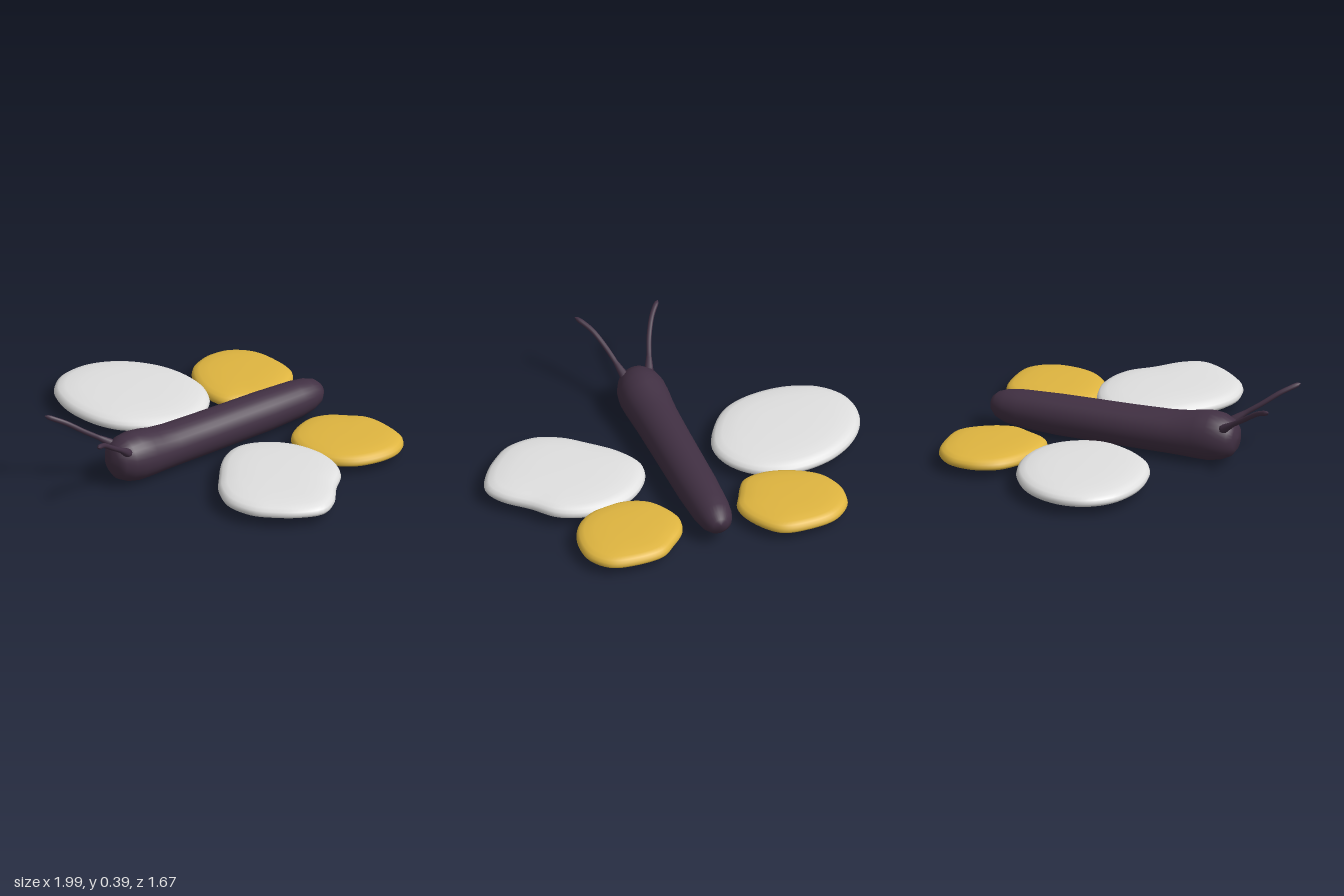
import * as THREE from 'three';

const material = (name, color) => {
  const m = new THREE.MeshStandardMaterial({ color });
  m.name = name;
  return m;
};

// Smooth closed skin over equal-length rings, each counter-clockwise seen from the last ring's end
function loft(rings) {
  const n = rings[0].length;
  const positions = rings.flatMap(ring => ring.flatMap(p => p.toArray()));
  const index = [];
  for (let i = 0; i < rings.length - 1; i++) {
    for (let j = 0; j < n; j++) {
      const k = (j + 1) % n;
      const a = i * n + j, b = i * n + k, c = a + n, d = b + n;
      index.push(a, b, d, a, d, c);
    }
  }
  const g = new THREE.BufferGeometry();
  g.setAttribute('position', new THREE.Float32BufferAttribute(positions, 3));
  g.setIndex(index);
  g.computeVertexNormals();
  return g;
}

// Body stations: z, bottom, top, half width
function bodyGeometry() {
  const stations = [
    [-0.763, 0.13, 0.13, 0], [-0.758, 0.09, 0.165, 0.04], [-0.73, 0.06, 0.19, 0.068],
    [-0.68, 0.038, 0.207, 0.086], [-0.6, 0.024, 0.216, 0.097], [-0.4, 0.012, 0.222, 0.106],
    [0, 0.007, 0.224, 0.111], [0.2, 0.006, 0.228, 0.115], [0.3, 0.004, 0.237, 0.12],
    [0.36, 0.001, 0.25, 0.124], [0.43, 0, 0.258, 0.125], [0.49, 0.012, 0.25, 0.115],
    [0.54, 0.036, 0.226, 0.092], [0.565, 0.07, 0.195, 0.06], [0.572, 0.13, 0.13, 0],
  ];
  return loft(stations.map(([z, low, high, w]) => Array.from({ length: 28 }, (_, i) => {
    const a = i / 28 * Math.PI * 2;
    return new THREE.Vector3(Math.cos(a) * w, (low + high) / 2 + Math.sin(a) * (high - low) / 2, z);
  })));
}

// Cushion-shaped wing from an x,z outline with a flattish top and underside
function wingGeometry(outline, low, rim, high) {
  const curve = new THREE.CatmullRomCurve3(
    outline.map(([x, z]) => new THREE.Vector3(x, 0, z)), true);
  const edge = curve.getSpacedPoints(72).slice(0, 72);
  const centre = edge.reduce((s, p) => s.add(p), new THREE.Vector3()).divideScalar(72);
  // Scale of the outline, height from underside (-1) through rim (0) to top (1)
  const profile = [
    [0, -1], [0.55, -0.98], [0.8, -0.86], [0.92, -0.66], [0.98, -0.36], [1, 0],
    [0.985, 0.34], [0.94, 0.6], [0.85, 0.8], [0.65, 0.94], [0.35, 0.99], [0, 1],
  ];
  return loft(profile.map(([s, h]) => edge.map(p => {
    const v = centre.clone().lerp(p, s);
    v.y = rim + h * (h > 0 ? high - rim : rim - low);
    return v;
  })));
}

// Tapering, slightly bent feeler with a rounded tip
function antennaGeometry(side) {
  const curve = new THREE.CatmullRomCurve3([
    [0.06, 0.185, 0.5], [0.085, 0.235, 0.57], [0.115, 0.29, 0.655],
    [0.155, 0.345, 0.735], [0.185, 0.368, 0.78], [0.222, 0.388, 0.825],
  ].map(([x, y, z]) => new THREE.Vector3(side * x, y, z)));
  const steps = 24, sides = 10;
  const frames = curve.computeFrenetFrames(steps);
  const rings = [];
  for (let i = 0; i <= steps; i++) {
    const t = i / steps;
    const r = i === 0 || i === steps ? 0 : i === steps - 1 ? 0.011 : 0.013 + 0.014 * Math.max(0, 1 - t * 4);
    const p = curve.getPointAt(t);
    rings.push(Array.from({ length: sides }, (_, j) => {
      const a = j / sides * Math.PI * 2;
      return p.clone()
        .addScaledVector(frames.normals[i], Math.cos(a) * r)
        .addScaledVector(frames.binormals[i], Math.sin(a) * r);
    }));
  }
  return loft(rings);
}

export function createModel() {
  const model = new THREE.Group();
  model.name = 'butterfly';
  const plum = material('dark plum', 0x413043);
  const white = material('pale grey', 0xe0e0e0);
  const gold = material('gold', 0xdfb540);

  const add = (name, geometry, mat) => {
    const mesh = new THREE.Mesh(geometry, mat);
    mesh.name = name;
    model.add(mesh);
  };

  add('body', bodyGeometry(), plum);
  add('leftAntenna', antennaGeometry(1), plum);
  add('rightAntenna', antennaGeometry(-1), plum);

  // Front wings, each with its own hand-shaped outline
  add('leftFrontWing', wingGeometry([
    [0.555, -0.385], [0.4, -0.36], [0.28, -0.29], [0.2, -0.18], [0.18, -0.09], [0.2, -0.02],
    [0.26, 0.07], [0.38, 0.18], [0.49, 0.267], [0.63, 0.316], [0.78, 0.285], [0.87, 0.21],
    [0.95, 0.11], [0.995, -0.01], [0.95, -0.11], [0.83, -0.22], [0.72, -0.335],
  ], 0.03, 0.07, 0.122), white);
  add('rightFrontWing', wingGeometry([
    [-0.44, -0.365], [-0.58, -0.375], [-0.75, -0.33], [-0.9, -0.22], [-0.98, -0.09], [-1, 0.03],
    [-0.97, 0.15], [-0.88, 0.25], [-0.75, 0.3], [-0.62, 0.31], [-0.46, 0.28], [-0.35, 0.215],
    [-0.25, 0.08], [-0.2, -0.07], [-0.23, -0.2], [-0.32, -0.31],
  ], 0.03, 0.07, 0.122), white);

  // Hind wings
  add('leftHindWing', wingGeometry([
    [0.487, -0.842], [0.326, -0.82], [0.246, -0.75], [0.176, -0.67], [0.15, -0.57], [0.19, -0.455],
    [0.26, -0.375], [0.396, -0.337], [0.567, -0.375], [0.663, -0.465], [0.706, -0.604],
    [0.69, -0.73], [0.61, -0.82],
  ], 0.03, 0.06, 0.108), gold);
  add('rightHindWing', wingGeometry([
    [-0.45, -0.842], [-0.6, -0.81], [-0.69, -0.72], [-0.71, -0.625], [-0.7, -0.55], [-0.65, -0.455],
    [-0.53, -0.375], [-0.385, -0.337], [-0.26, -0.36], [-0.19, -0.48], [-0.155, -0.57],
    [-0.19, -0.695], [-0.3, -0.825],
  ], 0.03, 0.06, 0.108), gold);

  return model;
}
